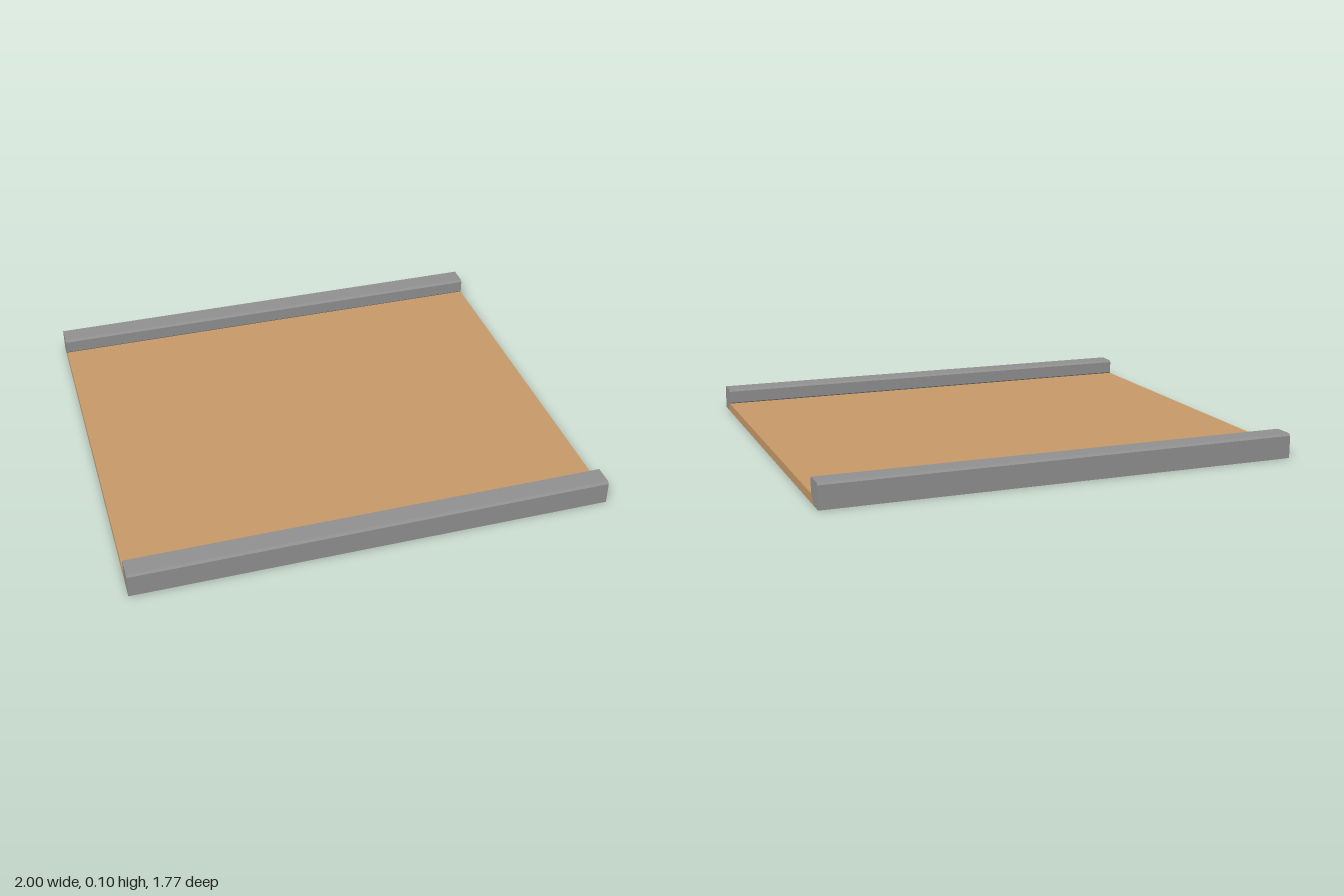
import * as THREE from 'three';

const LENGTH = 2;

// Extrudes a [z, y] cross-section along x, centred on x = 0
function extrudeAlongX(section) {
  const shape = new THREE.Shape(section.map(([z, y]) => new THREE.Vector2(z, y)));
  const geometry = new THREE.ExtrudeGeometry(shape, { depth: LENGTH, bevelEnabled: false });
  return geometry.translate(0, 0, -LENGTH / 2).rotateY(-Math.PI / 2);
}

export function createModel() {
  const group = new THREE.Group();
  const wood = new THREE.MeshStandardMaterial({ name: 'tan wood', color: 0xc69868 });
  const concrete = new THREE.MeshStandardMaterial({ name: 'grey concrete', color: 0x909090 });

  // Flat deck with sloped edges tucked under the curbs
  const deck = new THREE.Mesh(extrudeAlongX([
    [-0.825, 0], [0.825, 0], [0.79, 0.037], [-0.79, 0.037],
  ]), wood);
  deck.name = 'deck';
  group.add(deck);

  // Curbs: small bevels on top, larger undercut on the inner bottom edge
  const curbSection = [
    [0.825, 0], [0.886, 0], [0.886, 0.095], [0.877, 0.104],
    [0.795, 0.104], [0.786, 0.095], [0.786, 0.042],
  ];
  const curbGeometry = extrudeAlongX(curbSection);
  for (const [name, turn] of [['frontCurb', 0], ['backCurb', Math.PI]]) {
    const curb = new THREE.Mesh(curbGeometry, concrete);
    curb.name = name;
    curb.rotation.y = turn;
    group.add(curb);
  }
  return group;
}
